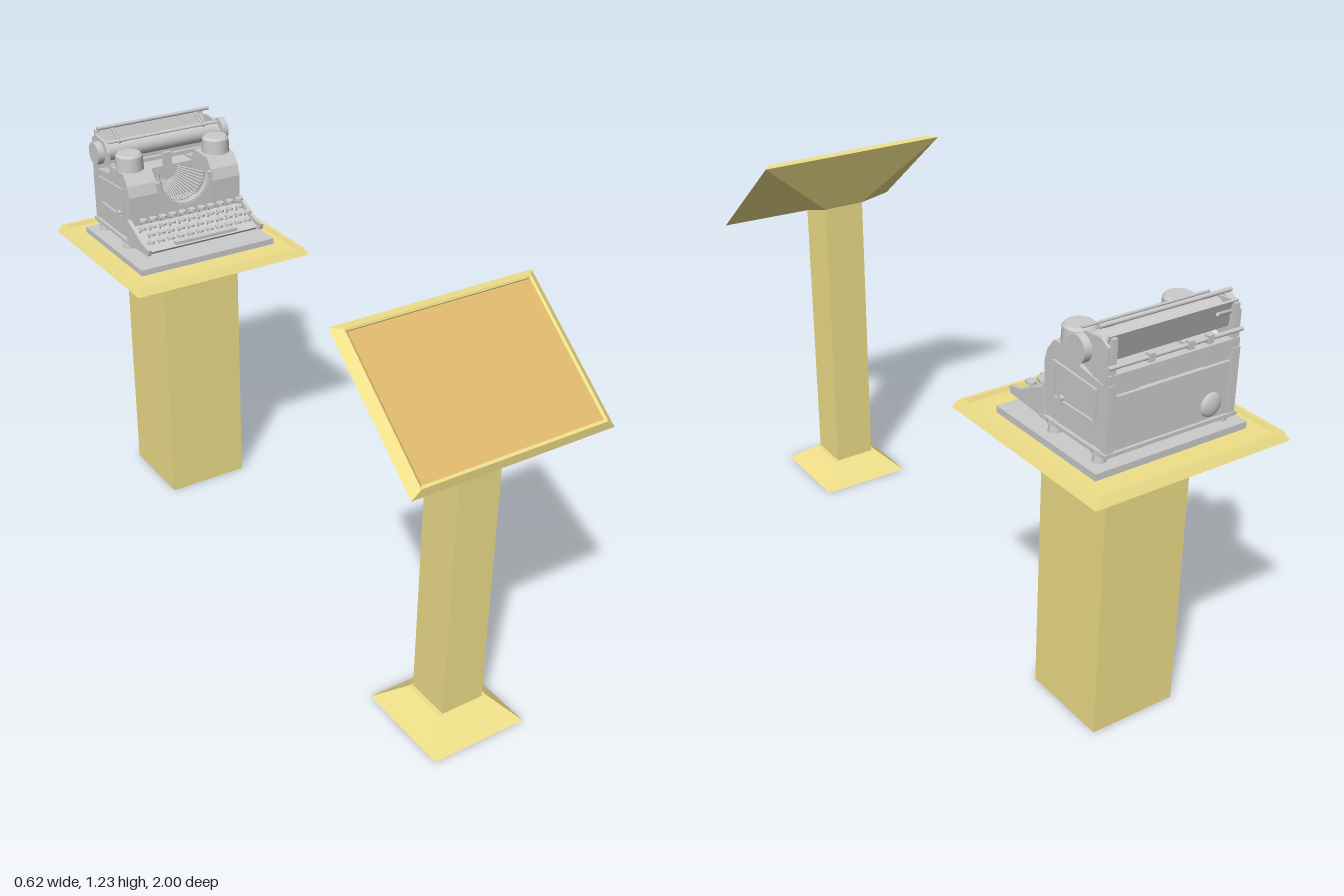
import * as THREE from 'three';

const YELLOW = new THREE.MeshStandardMaterial({ color: 0xf0e08a, flatShading: true });
const ORANGE = new THREE.MeshStandardMaterial({ color: 0xdeb86c, flatShading: true });
const GREY = new THREE.MeshStandardMaterial({ color: 0xcccccc });

function add(parent, name, geo, mat, x = 0, y = 0, z = 0) {
  const m = new THREE.Mesh(geo, mat);
  m.name = name;
  m.position.set(x, y, z);
  parent.add(m);
  return m;
}

// Four-cornered ring: half width, front (y, z), back (y, z)
const ring = (w, yf, zf, yb, zb) => [[-w, yf, zf], [w, yf, zf], [w, yb, zb], [-w, yb, zb]];
const level = (h, y, cz, d = h) => ring(h, y, cz + d, y, cz - d);

// Solid through a list of rings, from the bottom up
function loft(rings) {
  const pos = [];
  const quad = (a, b, c, d) => pos.push(...a, ...b, ...c, ...a, ...c, ...d);
  for (let r = 0; r < rings.length - 1; r++) {
    const a = rings[r], b = rings[r + 1];
    for (let i = 0; i < 4; i++) quad(a[i], a[(i + 1) % 4], b[(i + 1) % 4], b[i]);
  }
  const f = rings[0], l = rings[rings.length - 1];
  quad(f[3], f[2], f[1], f[0]);
  quad(...l);
  const g = new THREE.BufferGeometry();
  g.setAttribute('position', new THREE.Float32BufferAttribute(pos, 3));
  g.computeVertexNormals();
  return g;
}

const box = (w, h, d) => new THREE.BoxGeometry(w, h, d);
const cyl = (r, h, n = 24, r2 = r) => new THREE.CylinderGeometry(r2, r, h, n);
const rodX = (r, len, n = 20) => cyl(r, len, n).rotateZ(Math.PI / 2);

// Round bar between two points
function bar(parent, name, a, b, r) {
  const p = new THREE.Vector3(...a), q = new THREE.Vector3(...b);
  const m = add(parent, name, cyl(r, p.distanceTo(q), 6), GREY);
  m.position.copy(p).add(q).multiplyScalar(0.5);
  m.quaternion.setFromUnitVectors(new THREE.Vector3(0, 1, 0), q.sub(p).normalize());
  return m;
}

// Extrudes a (z, y) outline sideways, centred on x = 0
function sideExtrude(points, width, hole) {
  const s = new THREE.Shape(points.map(p => new THREE.Vector2(...p)));
  if (hole) s.holes.push(new THREE.Path(hole.map(p => new THREE.Vector2(...p))));
  const g = new THREE.ExtrudeGeometry(s, { depth: width, bevelEnabled: false });
  return g.translate(0, 0, -width / 2).rotateY(-Math.PI / 2);
}

function lectern() {
  const g = new THREE.Group();
  g.name = 'lectern';
  const cz = 0.805;
  add(g, 'lecternBase', loft([level(0.15, 0, cz), level(0.08, 0.065, cz, 0.072)]), YELLOW);
  add(g, 'lecternPost', loft([level(0.067, 0.06, cz), ring(0.067, 0.96, 0.872, 1.0, 0.738)]), YELLOW);
  add(g, 'readingDesk', loft([
    ring(0.067, 0.96, 0.87, 1.0, 0.74),
    ring(0.308, 0.915, 0.998, 1.203, 0.65),
    ring(0.282, 0.94, 1.0, 1.205, 0.678),
    ring(0.277, 0.942, 0.99, 1.199, 0.68),
    ring(0.275, 0.938, 0.985, 1.195, 0.678),
  ]), YELLOW);
  add(g, 'deskPanel', loft([
    ring(0.275, 0.936, 0.984, 1.192, 0.676),
    ring(0.275, 0.942, 0.99, 1.198, 0.682),
  ]), ORANGE);
  return g;
}

function pedestal() {
  const g = new THREE.Group();
  g.name = 'pedestal';
  const cz = -0.695;
  add(g, 'pedestalColumn', loft([level(0.135, 0, cz), level(0.135, 0.835, cz)]), YELLOW);
  add(g, 'pedestalTray', loft([
    level(0.135, 0.828, cz), level(0.304, 0.85, cz), level(0.29, 0.875, cz),
    level(0.281, 0.875, cz), level(0.276, 0.863, cz),
  ]), YELLOW);
  add(g, 'displaySlab', box(0.475, 0.022, 0.41), GREY, 0, 0.871, -0.705);
  return g;
}

function keyboard() {
  const g = new THREE.Group();
  g.name = 'keyboard';
  add(g, 'keyboardBed', sideExtrude([[-0.53, 0.915], [-0.52, 0.925], [-0.65, 0.965], [-0.65, 0.908]], 0.38), GREY);
  const arm = [[-0.515, 0.917], [-0.51, 0.936], [-0.56, 0.945], [-0.65, 0.99], [-0.66, 0.908]];
  for (const s of [-1, 1]) add(g, 'keyboardSideArm', sideExtrude(arm, 0.012), GREY, s * 0.2);
  add(g, 'spaceBar', box(0.22, 0.01, 0.016), GREY, 0, 0.94, -0.517);
  const cap = cyl(0.0125, 0.007, 14);
  for (let r = 0; r < 4; r++) {
    for (let i = 0; i < 11; i++) {
      const x = (i - 5) * 0.0345 + (r % 2 ? 0.008 : -0.008);
      const y = 0.95 + r * 0.013, z = -0.542 - r * 0.027;
      add(g, 'keyCap', cap, GREY, x, y, z);
      bar(g, 'keyStem', [x, y, z], [x, y - 0.02, z - 0.02], 0.003);
    }
  }
  return g;
}

function carriage() {
  const g = new THREE.Group();
  g.name = 'carriage';
  add(g, 'platen', rodX(0.031, 0.395, 28), GREY, 0, 1.165, -0.81);
  for (const s of [-1, 1]) {
    add(g, 'platenKnob', rodX(0.036, 0.022), GREY, s * 0.223, 1.165, -0.81);
    add(g, 'platenAxle', rodX(0.012, 0.03), GREY, s * 0.205, 1.165, -0.81);
    add(g, 'carriageEnd', sideExtrude(
      [[-0.775, 1.125], [-0.775, 1.17], [-0.8, 1.2], [-0.86, 1.205], [-0.89, 1.19], [-0.89, 1.09], [-0.84, 1.1]], 0.008),
      GREY, s * 0.198);
    add(g, 'railBracket', box(0.014, 0.2, 0.018), GREY, s * 0.185, 1.11, -0.885);
    bar(g, 'paperArm', [s * 0.15, 1.19, -0.79], [s * 0.15, 1.222, -0.845], 0.004);
  }
  add(g, 'carriageRail', box(0.4, 0.028, 0.022), GREY, 0, 1.105, -0.885);
  add(g, 'frontRail', box(0.4, 0.012, 0.012), GREY, 0, 1.125, -0.775);
  add(g, 'paperTable', box(0.39, 0.085, 0.006).rotateX(-0.35), GREY, 0, 1.175, -0.868);
  add(g, 'paperBail', rodX(0.006, 0.4, 10), GREY, 0, 1.228, -0.85);
  add(g, 'paperRod', rodX(0.004, 0.39, 8), GREY, 0, 1.2, -0.782);
  add(g, 'marginRail', rodX(0.006, 0.41, 10), GREY, 0, 1.14, -0.895);
  for (const x of [-0.1, -0.04, 0.08]) add(g, 'marginStop', box(0.018, 0.022, 0.016), GREY, x, 1.14, -0.895);
  bar(g, 'returnLever', [-0.2, 1.18, -0.87], [-0.115, 1.2, -0.9], 0.005);
  return g;
}

function typewriter() {
  const g = new THREE.Group();
  g.name = 'typewriter';
  add(g, 'bottomFrame', box(0.415, 0.01, 0.26), GREY, 0, 0.912, -0.772);
  const tower = [[-0.65, 0.908], [-0.645, 1.06], [-0.655, 1.095], [-0.68, 1.128], [-0.765, 1.13],
    [-0.785, 1.1], [-0.885, 1.085], [-0.885, 0.908]];
  const panelOuter = [[-0.685, 0.975], [-0.685, 1.08], [-0.855, 1.07], [-0.855, 0.975]];
  const panelInner = [[-0.695, 0.985], [-0.695, 1.069], [-0.845, 1.059], [-0.845, 0.985]];
  for (const s of [-1, 1]) {
    add(g, 'sideBody', sideExtrude(tower, 0.1), GREY, s * 0.148);
    add(g, 'sidePanelFrame', sideExtrude(panelOuter, 0.008, panelInner), GREY, s * 0.2);
    add(g, 'sidePanelLatch', rodX(0.008, 0.01, 12), GREY, s * 0.201, 0.99, -0.72);
    // Ribbon spool covers
    add(g, 'spoolCover', cyl(0.045, 0.045, 28, 0.043), GREY, s * 0.154, 1.15, -0.722);
    add(g, 'spoolLid', cyl(0.043, 0.008, 28, 0.036), GREY, s * 0.154, 1.176, -0.722);
    for (const z of [-0.685, -0.862]) {
      add(g, 'foot', cyl(0.018, 0.025, 16, 0.015), GREY, s * 0.19, 0.894, z);
      add(g, 'legCollar', cyl(0.021, 0.014, 16), GREY, s * 0.19, 0.912, z);
    }
    add(g, 'backPost', box(0.022, 0.19, 0.022), GREY, s * 0.19, 1.0, -0.888);
  }
  // Front plate with a bowl-shaped opening
  const front = new THREE.Shape();
  front.moveTo(-0.1, 0.908);
  front.lineTo(0.1, 0.908);
  front.lineTo(0.1, 1.09);
  front.lineTo(0.088, 1.09);
  front.absarc(0, 1.09, 0.088, 0, Math.PI, true);
  front.lineTo(-0.1, 1.09);
  add(g, 'frontPlate', new THREE.ExtrudeGeometry(front, { depth: 0.02, bevelEnabled: false, curveSegments: 20 }),
    GREY, 0, 0, -0.667);
  add(g, 'innerFloor', box(0.2, 0.07, 0.14), GREY, 0, 0.945, -0.735);
  add(g, 'innerBack', box(0.2, 0.18, 0.1), GREY, 0, 0.998, -0.832);
  // Fan of type bars in the opening
  for (let i = 0; i <= 22; i++) {
    const a = Math.PI * (1 + (i + 0.5) / 23), c = Math.cos(a), s = Math.sin(a);
    bar(g, 'typeBar', [0.082 * c, 1.09 + 0.082 * s, -0.672], [0.035 * c, 1.09 + 0.045 * s, -0.765], 0.0028);
  }
  add(g, 'typeBarRing', new THREE.TorusGeometry(0.086, 0.006, 8, 28, Math.PI).rotateZ(Math.PI), GREY, 0, 1.09, -0.655);
  add(g, 'typeGuide', box(0.03, 0.05, 0.012), GREY, 0, 1.115, -0.766);
  // Back plate and bell
  add(g, 'backPlate', box(0.36, 0.15, 0.012), GREY, 0, 0.985, -0.888);
  add(g, 'bell', new THREE.SphereGeometry(0.034, 20, 8, 0, Math.PI * 2, 0, Math.PI / 2)
    .scale(1, 0.4, 1).rotateX(-Math.PI / 2), GREY, -0.125, 0.955, -0.892);
  g.add(keyboard(), carriage());
  return g;
}

export function createModel() {
  const model = new THREE.Group();
  model.name = 'typewriterExhibit';
  model.add(lectern(), pedestal(), typewriter());
  return model;
}
